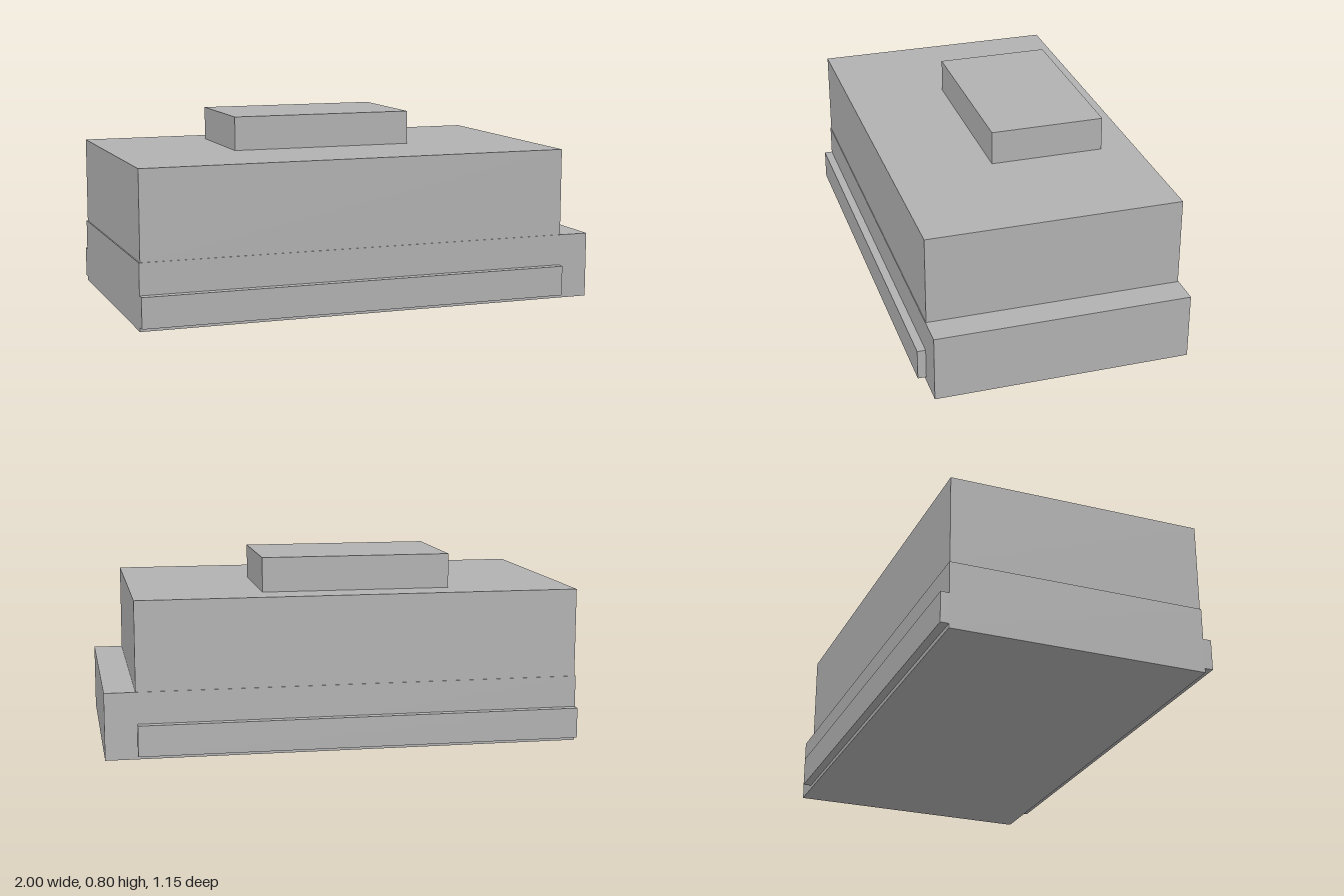
import * as THREE from 'three';

export function createModel() {
  const model = new THREE.Group();
  model.name = 'steppedBlock';
  const grey = new THREE.MeshStandardMaterial({ color: 0xb2b2b2 });
  grey.name = 'plain grey';

  // Box given by its lower and upper corners
  function addBox(name, [x0, y0, z0], [x1, y1, z1]) {
    const mesh = new THREE.Mesh(new THREE.BoxGeometry(x1 - x0, y1 - y0, z1 - z0), grey);
    mesh.position.set((x0 + x1) / 2, (y0 + y1) / 2, (z0 + z1) / 2);
    mesh.name = name;
    model.add(mesh);
  }

  // Stacked body, leaving a low step on the left end
  addBox('base', [-1, 0, -0.54], [1, 0.28, 0.54]);
  addBox('upperBody', [-0.995, 0.28, -0.537], [0.872, 0.655, 0.537]);
  addBox('roofBox', [-0.472, 0.655, -0.39], [0.328, 0.8, 0.1]);

  // Side strips along the front and back
  addBox('frontStrip', [-1, 0.018, 0.54], [0.867, 0.147, 0.575]);
  addBox('backStrip', [-1, 0.018, -0.575], [0.867, 0.147, -0.54]);

  return model;
}
